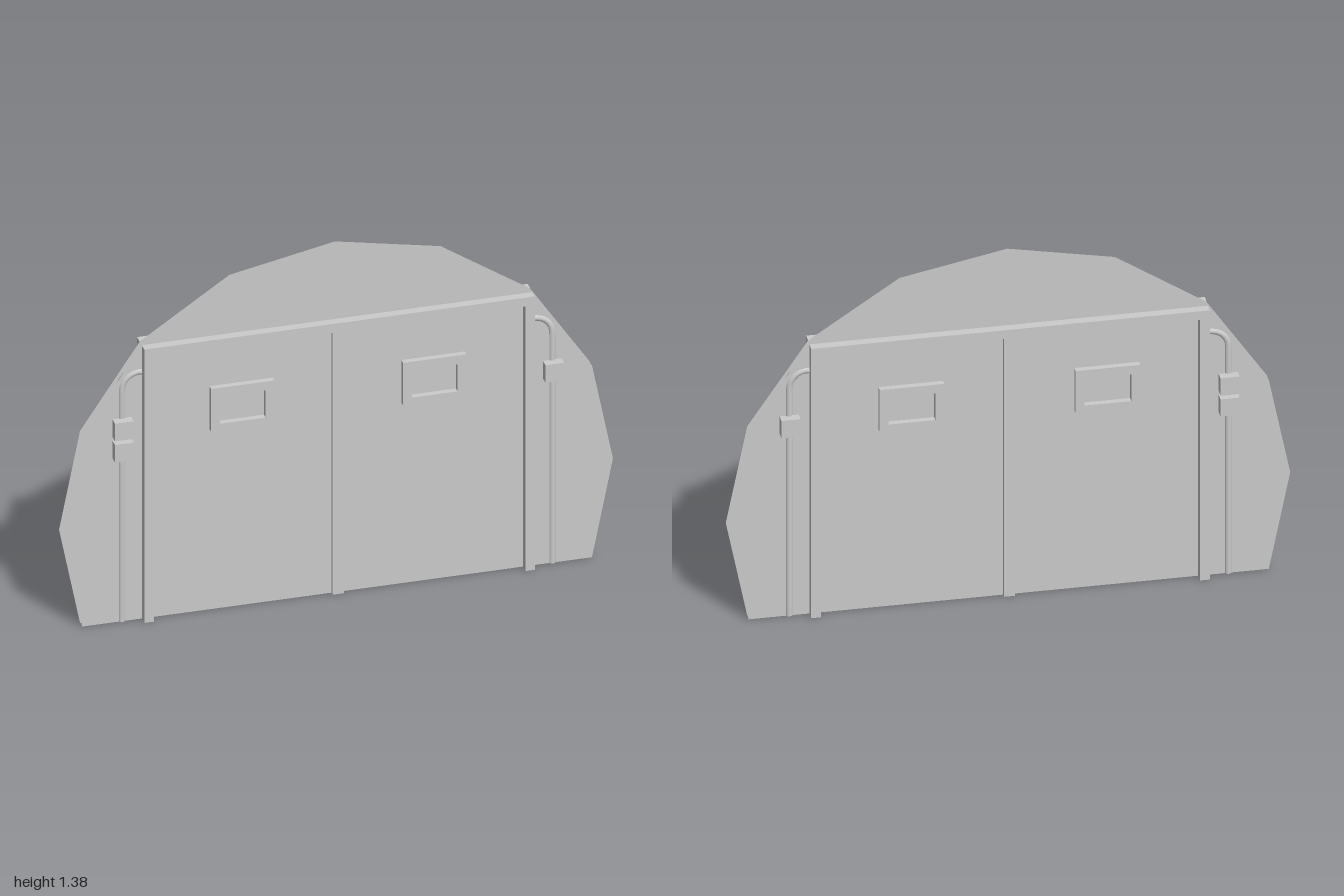
import * as THREE from 'three';

const SHEET_Z = 0.014; // wall skins sit either side of the centre plane
const FACE_Z = 0.047;  // outermost depth of frame and boxes

export function createModel() {
  const root = new THREE.Group();
  const grey = new THREE.MeshStandardMaterial({ color: 0xcccccc, flatShading: true });
  const thin = new THREE.MeshStandardMaterial({ color: 0xcccccc, side: THREE.DoubleSide });
  const smooth = new THREE.MeshStandardMaterial({ color: 0xcccccc });

  const add = (name, geometry, material, parent = root) => {
    const mesh = new THREE.Mesh(geometry, material);
    mesh.name = name;
    parent.add(mesh);
    return mesh;
  };
  const rect = (Type, x0, y0, x1, y1) => new Type([
    new THREE.Vector2(x0, y0), new THREE.Vector2(x1, y0),
    new THREE.Vector2(x1, y1), new THREE.Vector2(x0, y1)]);
  const extrude = (shape, depth) =>
    new THREE.ExtrudeGeometry(shape, { depth, bevelEnabled: false }).translate(0, 0, SHEET_Z);

  // Bulkhead outline: part of a 16-sided unit circle, cut flat at the floor
  const outline = [];
  for (let i = -1; i <= 9; i++) {
    const a = i * Math.PI / 8;
    outline.push(new THREE.Vector2(Math.cos(a), Math.max(0, 0.383 + Math.sin(a))));
  }
  const wallShape = new THREE.Shape(outline);

  // Door surround: two posts and a lintel
  const frameShape = new THREE.Shape([
    [-0.708, 0], [-0.673, 0], [-0.673, 1.055], [0.673, 1.055],
    [0.673, 0], [0.708, 0], [0.708, 1.09], [-0.708, 1.09],
  ].map(([x, y]) => new THREE.Vector2(x, y)));

  // Both faces of the bulkhead carry the same fittings; z is mirrored
  for (const s of [1, -1]) {
    const face = new THREE.Group();
    face.name = s > 0 ? 'frontFace' : 'backFace';
    // A half turn keeps the winding right; the fittings here are symmetric in x
    if (s < 0) face.rotation.y = Math.PI;
    root.add(face);

    add('wall', new THREE.ShapeGeometry(wallShape).translate(0, 0, SHEET_Z), thin, face);
    add('doorFrame', extrude(frameShape, FACE_Z - SHEET_Z), grey, face);

    for (const x of [-0.348, 0.348]) {
      const rim = rect(THREE.Shape, x - 0.115, 0.72, x + 0.115, 0.89);
      rim.holes.push(rect(THREE.Path, x - 0.083, 0.747, x + 0.083, 0.855));
      add('windowFrame', extrude(rim, 0.022), grey, face);
    }

    // Conduits rise beside the door and bend in behind the frame
    for (const m of [1, -1]) {
      const p = (x, y) => new THREE.Vector3(m * x, y, 0.008);
      const path = new THREE.CurvePath();
      path.add(new THREE.LineCurve3(p(0.78, 0), p(0.78, 0.92)));
      path.add(new THREE.CubicBezierCurve3(
        p(0.78, 0.92), p(0.78, 0.956), p(0.751, 0.985), p(0.715, 0.985)));
      path.add(new THREE.LineCurve3(p(0.715, 0.985), p(0.688, 0.985)));
      add('conduit', new THREE.TubeGeometry(path, 60, 0.013, 10), smooth, face);
      add('conduitFoot', new THREE.CircleGeometry(0.013, 10)
        .rotateX(Math.PI / 2).translate(m * 0.78, 0, 0.008), thin, face);
    }
  }

  // Strip where the two door leaves meet
  add('doorSeam', new THREE.BoxGeometry(0.04, 1.055, 0.058).translate(0, 0.5275, 0), grey);

  // Control boxes run right through the wall
  for (const [x, y] of [[0.78, 0.775], [-0.78, 0.775], [-0.78, 0.69]]) {
    add('controlBox', new THREE.BoxGeometry(0.068, 0.07, FACE_Z * 2).translate(x, y, 0), grey);
  }

  return root;
}
